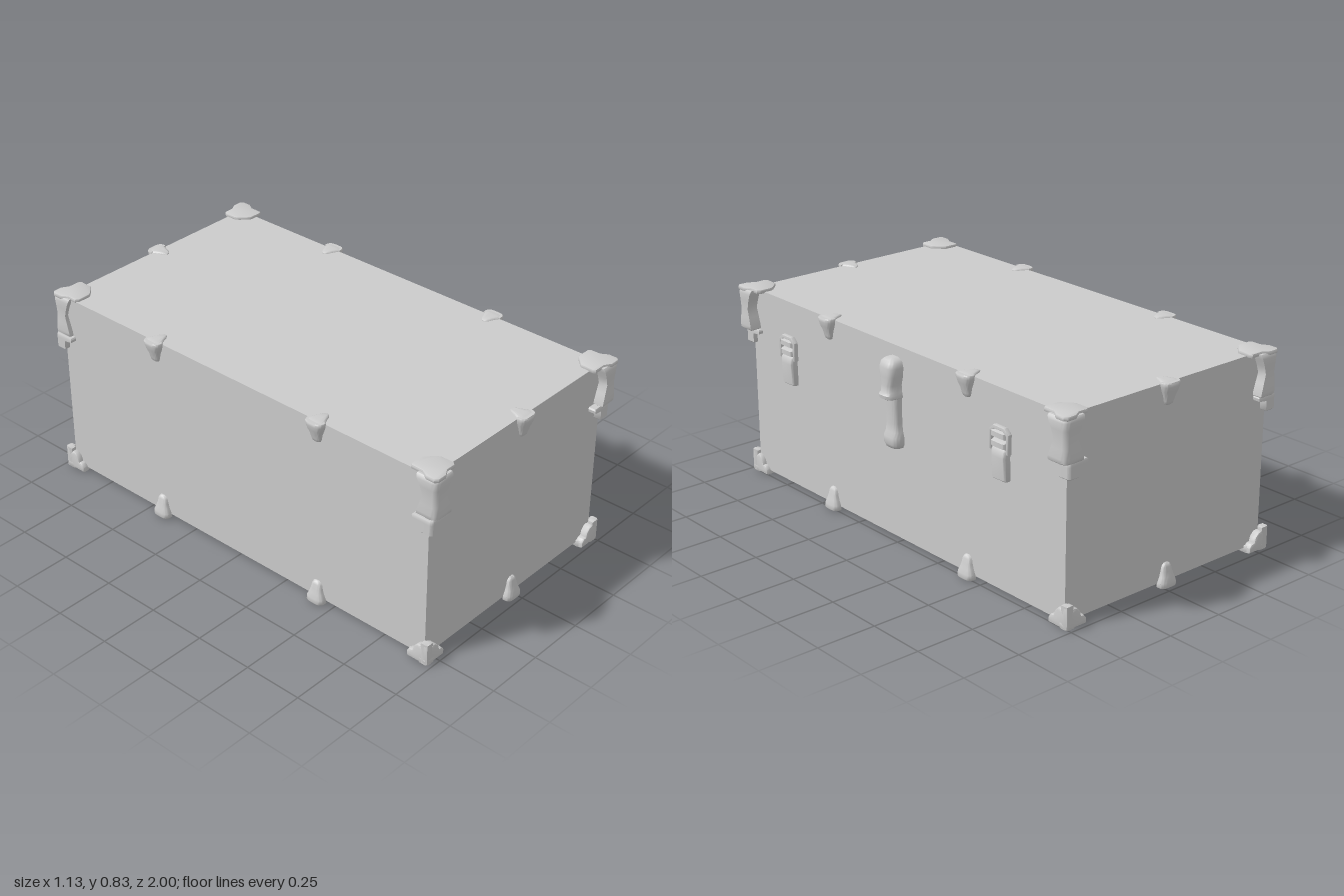
import * as THREE from 'three';
import { toCreasedNormals } from 'three/addons/utils/BufferGeometryUtils.js';

const material = new THREE.MeshStandardMaterial({ color: 0xcccccc });
const BODY = { x0: -0.535, x1: 0.49, y0: 0.02, y1: 0.82, z: 0.955 };

// Closed solid through rings of points; each ring turns from +x to +z, rings rise along y.
function loft(rings) {
  const n = rings[0].length, index = [];
  rings.slice(1).forEach((_, i) => {
    for (let j = 0; j < n; j++) {
      const a = i * n + j, b = i * n + (j + 1) % n;
      index.push(a, a + n, b, b, a + n, b + n);
    }
  });
  const top = (rings.length - 1) * n;
  for (let j = 1; j < n - 1; j++) index.push(0, j, j + 1, top, top + j + 1, top + j);
  const geometry = new THREE.BufferGeometry();
  geometry.setAttribute('position', new THREE.Float32BufferAttribute(rings.flat(2), 3));
  geometry.setIndex(index);
  return toCreasedNormals(geometry, 0.75);
}

// Domed strap lying on the plane z = 0: sections are [y, half width, height].
function strap(sections, power = 0.6) {
  const steps = 16;
  return loft(sections.map(([y, w, d]) => Array.from({ length: steps + 1 }, (_, j) => {
    const a = Math.PI * j / steps, c = Math.cos(a), s = Math.max(0, Math.sin(a));
    return [Math.sign(c) * Math.abs(c) ** power * w, y, s ** power * d - 0.002];
  })));
}

// Wrap round a vertical edge: sections are [y, reach along each face, inset from the outer corner].
function edgeWrap(sections, r = 0.025) {
  return loft(sections.map(([y, reach, inset]) => {
    const ring = [[-inset, y, -reach]];
    for (let k = 0; k <= 6; k++) {
      const a = Math.PI / 2 * k / 6, c = -inset - r;
      ring.push([c + r * Math.cos(a), y, c + r * Math.sin(a)]);
    }
    ring.push([-reach, y, -inset], [-reach, y, -reach]);
    return ring;
  }));
}

function slab(points, depth, bevel = 0.005) {
  const shape = new THREE.Shape(points.map(([x, y]) => new THREE.Vector2(x, y)));
  const geometry = new THREE.ExtrudeGeometry(shape, {
    depth: depth - 2 * bevel, bevelThickness: bevel, bevelSize: bevel, bevelOffset: -bevel, bevelSegments: 2,
  });
  geometry.translate(0, 0, bevel);
  return toCreasedNormals(geometry, 0.75);
}

function add(parent, name, geometry, x = 0, y = 0, z = 0) {
  const mesh = new THREE.Mesh(geometry, material);
  mesh.name = name;
  mesh.position.set(x, y, z);
  parent.add(mesh);
  return mesh;
}

function group(parent, name, x, y, z, turn) {
  const g = new THREE.Group();
  g.name = name;
  g.position.set(x, y, z);
  g.rotation.y = turn;
  parent.add(g);
  return g;
}

// Lobed cap seen from above, its outer corner at the origin
const capPlan = [[0, 0.012], [0.012, 0], [0.05, 0], [0.08, 0.018], [0.13, 0.018], [0.137, 0.03], [0.135, 0.085],
  [0.12, 0.1], [0.1, 0.12], [0.085, 0.13], [0.03, 0.13], [0.018, 0.12], [0.018, 0.08], [0, 0.05]];
const capSlab = (scale, depth) =>
  slab(capPlan.map(([u, v]) => [-u * scale, v * scale]), depth).rotateX(-Math.PI / 2);

// Clover-edged flap of a bottom corner
const flapOutline = [[0, 0], [0.1, 0], [0.1, 0.022], [0.088, 0.036], [0.074, 0.038], [0.068, 0.058], [0.052, 0.075],
  [0.036, 0.078], [0.026, 0.07], [0.024, 0.093], [0, 0.093]];

export function createModel() {
  const model = new THREE.Group();
  model.name = 'trunk';

  // Plain chest
  const width = BODY.x1 - BODY.x0;
  add(model, 'chestBody', new THREE.BoxGeometry(width, BODY.y1 - BODY.y0, 2 * BODY.z),
    (BODY.x0 + BODY.x1) / 2, (BODY.y0 + BODY.y1) / 2, 0);

  // Corner guards, turned a quarter at a time
  const lidWrap = edgeWrap([[0.65, 0.084, 0.006], [0.655, 0.09, 0.001], [0.67, 0.088, 0], [0.705, 0.077, 0.002],
    [0.74, 0.066, 0.004], [0.775, 0.077, 0.002], [0.805, 0.09, 0], [0.817, 0.094, 0.003], [0.823, 0.094, 0.008]]);
  const lidCap = capSlab(1, 0.018);
  const baseWrap = edgeWrap([[0.585, 0.046, 0.004], [0.589, 0.05, 0], [0.628, 0.052, 0],
    [0.633, 0.09, 0], [0.645, 0.092, 0], [0.651, 0.088, 0.003]], 0.012);
  const footCap = capSlab(0.75, 0.03);
  const frontFlap = slab(flapOutline.map(([u, v]) => [-u, v]).reverse(), 0.036, 0.008).translate(0, 0, -0.036);
  const sideFlap = slab(flapOutline, 0.036, 0.008).translate(0, 0, -0.036).rotateY(Math.PI / 2);
  [[1, 1], [1, -1], [-1, -1], [-1, 1]].forEach(([sx, sz], k) => {
    const turn = k * Math.PI / 2;
    const lid = group(model, 'lidCorner', sx > 0 ? 0.54 : -0.555, 0, sz * 0.998, turn);
    add(lid, 'lidCornerWrap', lidWrap);
    add(lid, 'lidCornerCap', lidCap, 0, 0.814, 0);
    const base = group(model, 'baseCorner', sx > 0 ? 0.51 : -0.56, 0, sz * 0.987, turn);
    add(base, 'baseCornerWrap', baseWrap);
    add(base, 'footCap', footCap);
    add(base, 'footFlap', frontFlap, 0, 0.003, 0);
    add(base, 'footFlap', sideFlap, 0, 0.003, 0);
  });

  // Edge clips: a tapering tongue on the wall and a thin one over the edge
  const lidTongue = strap([[0.733, 0.01, 0.008], [0.738, 0.019, 0.013], [0.75, 0.023, 0.017], [0.77, 0.027, 0.022],
    [0.79, 0.035, 0.03], [0.81, 0.041, 0.035], [0.822, 0.042, 0.036], [0.826, 0.04, 0.033]]);
  const baseTongue = strap([[0.004, 0.04, 0.032], [0.008, 0.042, 0.034], [0.025, 0.041, 0.032], [0.045, 0.032, 0.026],
    [0.065, 0.026, 0.02], [0.083, 0.023, 0.016], [0.093, 0.017, 0.012], [0.098, 0.008, 0.007]]);
  const edgeTongue = () => strap([[-0.025, 0.03, 0.006], [-0.015, 0.04, 0.009], [0, 0.038, 0.01],
    [0.025, 0.025, 0.01], [0.045, 0.017, 0.009], [0.057, 0.007, 0.005]]);
  const overEdge = edgeTongue().rotateX(-Math.PI / 2);
  const underEdge = edgeTongue().rotateX(Math.PI / 2).rotateY(Math.PI);
  const clip = (xLid, xBase, z, turn) => {
    const lid = group(model, 'lidClip', xLid, 0, z, turn);
    add(lid, 'lidClipTongue', lidTongue);
    add(lid, 'lidClipTop', overEdge, 0, BODY.y1, 0);
    const base = group(model, 'baseClip', xBase, 0, z, turn);
    add(base, 'baseClipTongue', baseTongue);
    add(base, 'baseClipUnderside', underEdge, 0, BODY.y0, 0);
  };
  clip(-0.005, -0.022, BODY.z, 0);
  clip(-0.005, -0.022, -BODY.z, Math.PI);
  for (const z of [0.425, -0.42]) {
    clip(BODY.x1, BODY.x1, z, Math.PI / 2);
    clip(BODY.x0, BODY.x0, z, -Math.PI / 2);
  }

  // Central hasp: hinged upper half over a lower keeper
  const hasp = group(model, 'hasp', BODY.x1, 0, 0.003, Math.PI / 2);
  add(hasp, 'haspUpper', strap([[0.614, 0.036, 0.06], [0.618, 0.041, 0.068], [0.632, 0.041, 0.07],
    [0.642, 0.036, 0.062], [0.67, 0.036, 0.06], [0.705, 0.045, 0.06], [0.74, 0.048, 0.06],
    [0.76, 0.043, 0.054], [0.77, 0.033, 0.045], [0.776, 0.016, 0.028]]));
  add(hasp, 'haspKeeper', strap([[0.404, 0.025, 0.026], [0.41, 0.038, 0.037], [0.425, 0.046, 0.044],
    [0.455, 0.046, 0.045], [0.475, 0.04, 0.037], [0.51, 0.035, 0.035], [0.58, 0.036, 0.037], [0.617, 0.037, 0.038]]));

  // Draw latches either side of the hasp
  const plate = strap([[0.472, 0.037, 0.022], [0.477, 0.039, 0.028], [0.565, 0.037, 0.034],
    [0.59, 0.039, 0.03], [0.6, 0.038, 0.022]], 0.3);
  const roller = strap([[-0.016, 0.036, 0.02], [-0.01, 0.038, 0.034], [0.01, 0.038, 0.034], [0.016, 0.036, 0.02]], 0.3);
  const frame = slab([[-0.052, 0.582], [-0.04, 0.582], [-0.04, 0.655], [-0.022, 0.667], [0.022, 0.667], [0.04, 0.655],
    [0.04, 0.582], [0.052, 0.582], [0.052, 0.66], [0.03, 0.681], [-0.03, 0.681], [-0.052, 0.66]], 0.022, 0.004);
  for (const z of [0.69, -0.62]) {
    const latch = group(model, 'latch', BODY.x1, 0, z, Math.PI / 2);
    add(latch, 'latchPlate', plate);
    add(latch, 'latchFrame', frame, 0, 0, 0.004);
    for (const y of [0.612, 0.65]) add(latch, 'latchRoller', roller, 0, y, 0);
  }
  return model;
}
